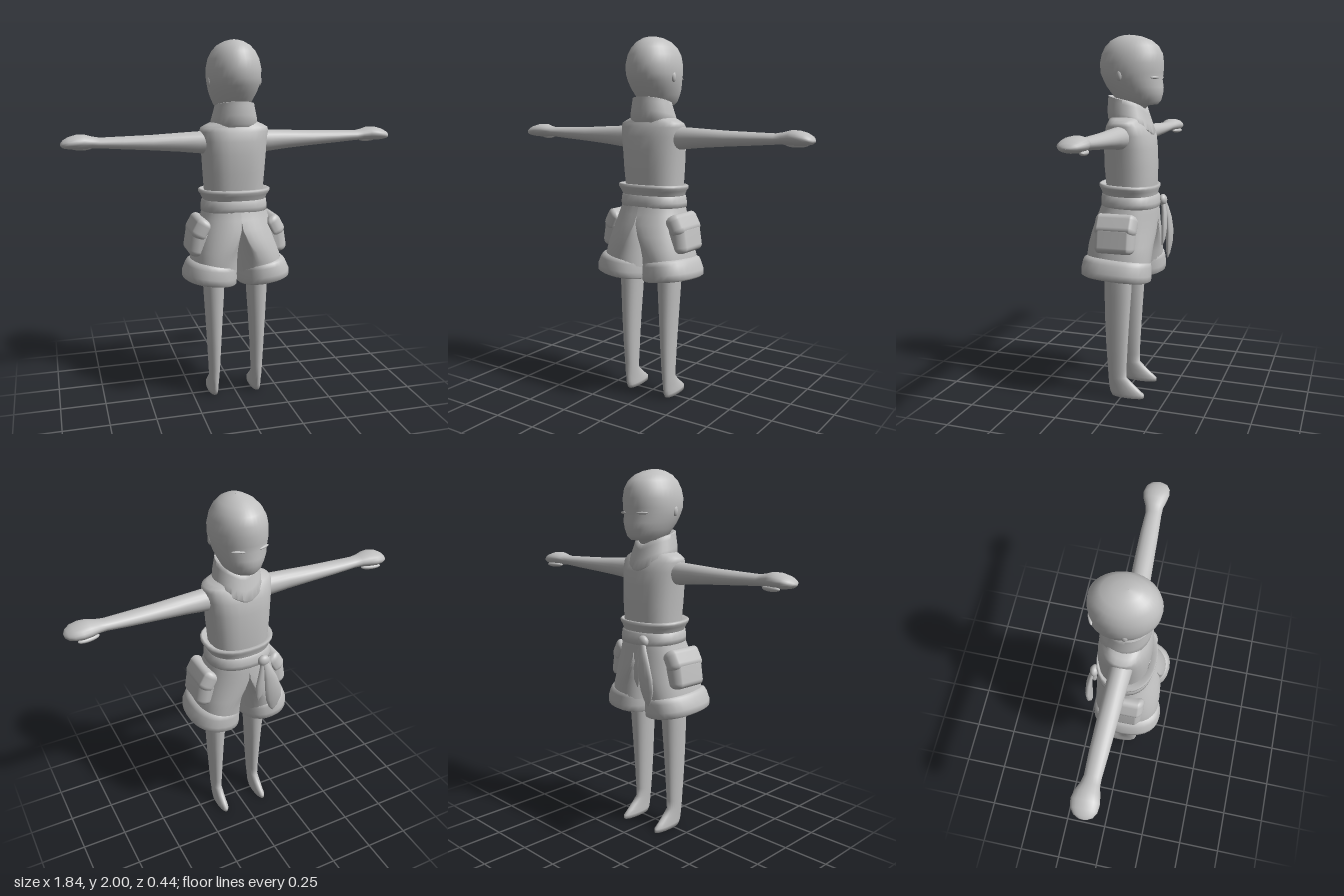
import * as THREE from 'three';
import { mergeVertices, toCreasedNormals } from 'three/addons/utils/BufferGeometryUtils.js';
import { RoundedBoxGeometry } from 'three/addons/geometries/RoundedBoxGeometry.js';

const clay = new THREE.MeshStandardMaterial({ color: 0xc0c0c0, side: THREE.DoubleSide });
clay.name = 'clay grey';

// Closed cross-sections stacked upward. Row: [y, centre x, centre z, radius x, radius z, k].
// With half set, each section runs from x = 0 to x = radius, and k squares off its inner side.
function loft(rows, { n = 28, p = 2, tx = 0, tz = 0, half = false, dip = 0 } = {}) {
  const pos = [], idx = [];
  const bend = v => Math.sign(v) * Math.pow(Math.abs(v), 2 / p);
  rows.forEach(([y, cx, cz, rx, rz, k = 0]) => {
    for (let j = 0; j < n; j++) {
      const t = j / n * Math.PI * 2;
      const c = bend(Math.cos(t)), s = bend(Math.sin(t));
      const x = half ? rx * (k * Math.max(0, c) + (1 - k) * (1 + c) / 2) : cx + rx * c;
      const z = cz + rz * s;
      const drop = dip * Math.pow(Math.max(0, -Math.sin(t)), 6);
      pos.push(x, y + tx * (x - cx) * (1 - k) + tz * z - drop, z);
    }
  });
  for (let i = 0; i < rows.length - 1; i++) {
    for (let j = 0; j < n; j++) {
      const a = i * n + j, b = i * n + (j + 1) % n;
      idx.push(a, a + n, b, b, a + n, b + n);
    }
  }
  const g = new THREE.BufferGeometry();
  g.setAttribute('position', new THREE.Float32BufferAttribute(pos, 3));
  g.setIndex(idx);
  g.computeVertexNormals();
  return g;
}

// Welded, smooth copy, optionally mirrored in x
function side(geo, mirrored) {
  let g = geo.clone();
  g.deleteAttribute('uv');
  g.deleteAttribute('normal');
  g.clearGroups();
  g = mergeVertices(g, 1e-5);
  if (mirrored) {
    g.scale(-1, 1, 1);
    const a = g.index.array;
    for (let i = 0; i < a.length; i += 3) [a[i], a[i + 1]] = [a[i + 1], a[i]];
  }
  g.computeVertexNormals();
  return g;
}

function ball(x, y, z, rx, ry, rz, turn = 0) {
  return new THREE.SphereGeometry(1, 20, 14).scale(rx, ry, rz).rotateY(turn).translate(x, y, z);
}

// Soft pad wrapped round the hip and leaning inward at the top
function pad(x, y, w, h, d, lean) {
  const g = new RoundedBoxGeometry(w, h, d, 4, 0.032);
  const q = g.attributes.position;
  for (let i = 0; i < q.count; i++) q.setX(i, q.getX(i) - 3 * q.getZ(i) ** 2);
  return g.rotateZ(lean).translate(x, y, 0.01);
}

export function createModel() {
  const group = new THREE.Group();
  const add = (name, geo) => {
    const m = new THREE.Mesh(geo, clay);
    m.name = name;
    group.add(m);
  };
  const pair = (name, geo, crease) => {
    [['left', false], ['right', true]].forEach(([s, flip]) => {
      const g = side(geo, flip);
      add(s + name, crease ? toCreasedNormals(g, crease) : g);
    });
  };

  // Head, with the face toward -z
  add('head', loft([
    [1.58, 0, 0, 0.06, 0.06], [1.628, 0, -0.03, 0.06, 0.075], [1.635, 0, -0.06, 0.075, 0.1],
    [1.655, 0, -0.055, 0.098, 0.122], [1.69, 0, -0.047, 0.115, 0.14], [1.725, 0, -0.035, 0.13, 0.155],
    [1.765, 0, -0.021, 0.141, 0.162], [1.8, 0, -0.016, 0.147, 0.172], [1.85, 0, -0.015, 0.147, 0.175],
    [1.9, 0, -0.017, 0.136, 0.167], [1.94, 0, -0.016, 0.115, 0.146], [1.97, 0, -0.012, 0.087, 0.112],
    [1.99, 0, -0.005, 0.05, 0.067], [1.998, 0, 0, 0.02, 0.028], [2, 0, 0, 0.001, 0.001],
  ], { n: 36 }));
  pair('Eyelid', ball(0.07, 1.775, -0.164, 0.035, 0.007, 0.009, -0.4));
  pair('Ear', ball(0.138, 1.785, 0.01, 0.012, 0.028, 0.016));

  // Tilted wrap collar, pointed at the chest
  add('collar', toCreasedNormals(loft([
    [1.545, 0, -0.005, 0.09, 0.09], [1.525, 0, -0.015, 0.122, 0.122], [1.54, 0, -0.015, 0.133, 0.13],
    [1.585, 0, -0.005, 0.125, 0.123], [1.635, 0, 0.003, 0.112, 0.112], [1.657, 0, 0.006, 0.107, 0.108],
    [1.66, 0, 0.005, 0.098, 0.098], [1.63, 0, 0, 0.07, 0.07],
  ], { tz: 0.22, dip: 0.03 }), 1));

  // Sleeveless torso
  add('torso', loft([
    [1.12, 0, -0.018, 0.16, 0.13], [1.2, 0, -0.018, 0.163, 0.134], [1.3, 0, -0.015, 0.17, 0.14],
    [1.4, 0, -0.012, 0.177, 0.138], [1.47, 0, -0.01, 0.184, 0.131], [1.52, 0, -0.005, 0.189, 0.115],
    [1.54, 0, 0, 0.184, 0.098], [1.555, 0, 0, 0.155, 0.095], [1.575, 0, 0, 0.11, 0.09], [1.6, 0, 0, 0.06, 0.06],
  ], { p: 2.4 }));

  // Arms: lofted upright, then laid out sideways
  pair('Arm', loft([
    [0.14, -1.46, 0, 0.062, 0.058], [0.2, -1.462, -0.002, 0.059, 0.056], [0.3, -1.465, -0.005, 0.051, 0.053],
    [0.45, -1.467, -0.01, 0.041, 0.051], [0.6, -1.47, -0.014, 0.034, 0.048], [0.72, -1.473, -0.016, 0.028, 0.043],
    [0.76, -1.477, -0.02, 0.031, 0.048], [0.8, -1.481, -0.024, 0.038, 0.062], [0.84, -1.48, -0.024, 0.038, 0.07],
    [0.88, -1.476, -0.022, 0.031, 0.064], [0.907, -1.471, -0.02, 0.021, 0.046], [0.92, -1.468, -0.02, 0.009, 0.02],
    [0.922, -1.468, -0.02, 0.001, 0.001],
  ], { n: 20 }).rotateZ(-Math.PI / 2));
  pair('Thumb', ball(0.815, 1.445, -0.06, 0.058, 0.014, 0.02, 0.2));

  // Waistband flaring upward, and the sash below it
  add('waistband', loft([
    [1.13, 0, -0.01, 0.165, 0.14], [1.155, 0, -0.008, 0.177, 0.148], [1.175, 0, -0.006, 0.186, 0.154],
    [1.19, 0, -0.006, 0.198, 0.161], [1.203, 0, -0.006, 0.198, 0.161], [1.208, 0, -0.006, 0.187, 0.153],
    [1.195, 0, -0.01, 0.155, 0.13],
  ], { p: 2.3, tz: 0.04 }));
  add('sash', loft([
    [1.075, 0, -0.012, 0.16, 0.14], [1.085, 0, -0.012, 0.183, 0.156], [1.11, 0, -0.012, 0.184, 0.158],
    [1.145, 0, -0.011, 0.178, 0.154], [1.155, 0, -0.01, 0.16, 0.14],
  ], { p: 2.3, tz: 0.04 }));

  // Baggy shorts: two halves that part into legs below the hips
  pair('ShortsLeg', loft([
    [0.75, 0, 0.02, 0.26, 0.176, 0], [0.82, 0, 0.018, 0.251, 0.18, 0.1], [0.88, 0, 0.017, 0.238, 0.181, 0.35],
    [0.94, 0, 0.012, 0.222, 0.18, 0.7], [1, 0, 0.005, 0.206, 0.173, 0.95], [1.05, 0, -0.003, 0.19, 0.163, 1],
    [1.1, 0, -0.01, 0.175, 0.152, 1], [1.15, 0, -0.01, 0.165, 0.14, 1],
  ], { n: 40, p: 2.25, half: true }), 0.9);
  // Turned-up cuffs, closed underneath round the leg
  pair('Cuff', loft([
    [0.735, 0.14, 0.02, 0.05, 0.07], [0.7, 0.147, 0.024, 0.115, 0.15], [0.69, 0.15, 0.025, 0.136, 0.176],
    [0.7, 0.152, 0.025, 0.147, 0.192], [0.73, 0.151, 0.025, 0.148, 0.194], [0.775, 0.142, 0.023, 0.138, 0.189],
    [0.795, 0.137, 0.021, 0.13, 0.184], [0.803, 0.132, 0.02, 0.118, 0.17],
  ], { p: 2.3, tx: 0.13, tz: 0.06 }));

  // Cargo pockets with flaps
  pair('Pocket', pad(0.243, 0.928, 0.09, 0.15, 0.22, 0.16));
  pair('PocketFlap', pad(0.232, 1.015, 0.075, 0.115, 0.235, 0.5));

  // Knot and hanging ends of the sash
  add('sashKnot', ball(-0.08, 1.105, -0.172, 0.034, 0.032, 0.024));
  add('longSashEnd', loft([
    [0.76, -0.135, -0.188, 0.002, 0.002], [0.79, -0.135, -0.192, 0.025, 0.01], [0.85, -0.135, -0.198, 0.047, 0.015],
    [0.92, -0.128, -0.202, 0.05, 0.017], [1, -0.112, -0.198, 0.038, 0.016], [1.06, -0.095, -0.188, 0.025, 0.014],
    [1.11, -0.08, -0.175, 0.015, 0.012],
  ], { n: 14 }));
  add('shortSashEnd', loft([
    [0.85, -0.045, -0.18, 0.002, 0.002], [0.89, -0.048, -0.186, 0.02, 0.011], [0.96, -0.056, -0.189, 0.028, 0.015],
    [1.04, -0.068, -0.184, 0.02, 0.014], [1.11, -0.08, -0.172, 0.013, 0.012],
  ], { n: 14 }));

  // Slim legs running into narrow feet, toes toward -z
  pair('Leg', toCreasedNormals(loft([
    [0, 0.127, -0.03, 0.002, 0.002], [0, 0.127, -0.035, 0.027, 0.093], [0.022, 0.127, -0.029, 0.028, 0.1],
    [0.045, 0.127, -0.012, 0.027, 0.088], [0.075, 0.127, 0.007, 0.027, 0.072], [0.11, 0.127, 0.028, 0.028, 0.053],
    [0.16, 0.126, 0.03, 0.031, 0.054], [0.3, 0.126, 0.031, 0.038, 0.062], [0.45, 0.126, 0.029, 0.046, 0.069],
    [0.6, 0.125, 0.025, 0.055, 0.075], [0.72, 0.125, 0.022, 0.061, 0.079], [0.85, 0.12, 0.02, 0.065, 0.082],
  ], { n: 20, p: 2.2 }), 1));

  return group;
}
